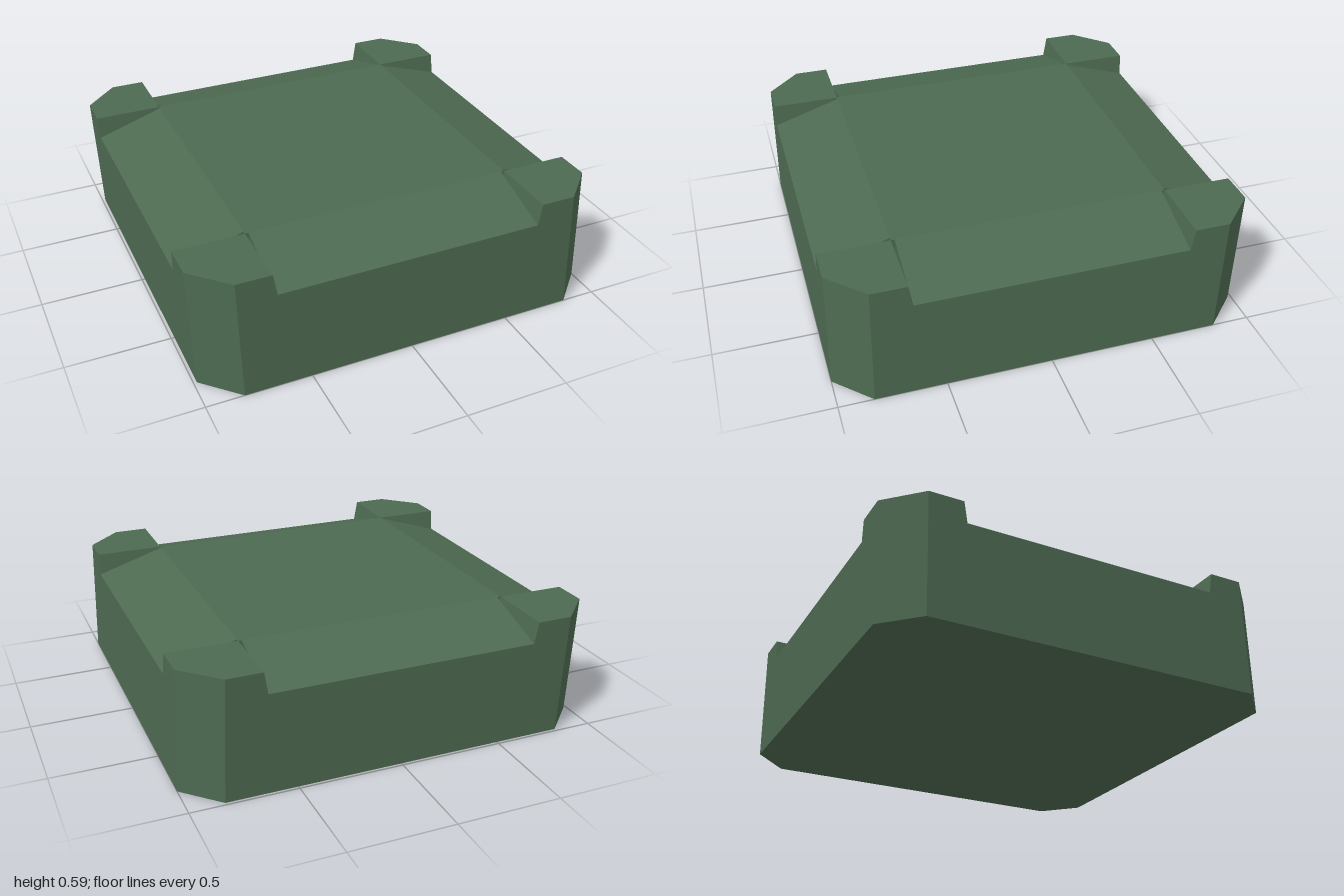
import * as THREE from 'three';

const TOP = 0.59, FLOOR = 0.485;   // crown height and notch height
const HALF = 0.9925, CUT = 0.8275; // half width and where the corner chamfer starts

// The block leans slightly: its centre drifts in x and z with height
const lean = (y) => 0.0075 - 0.015 * (y / TOP);
const at = (y, pts) => pts.map(([x, z]) => [x + lean(y), z + lean(y)]);

// Flat-shaded solid between two matching [x, z] loops
function loft(bottom, y0, top, y1) {
  let area = 0;
  bottom.forEach(([x, z], i) => {
    const [nx, nz] = bottom[(i + 1) % bottom.length];
    area += x * nz - nx * z;
  });
  if (area > 0) { bottom = [...bottom].reverse(); top = [...top].reverse(); }
  const b = bottom.map(([x, z]) => new THREE.Vector3(x, y0, z));
  const t = top.map(([x, z]) => new THREE.Vector3(x, y1, z));
  const points = [];
  const tri = (p, q, r) => {
    if (new THREE.Triangle(p, q, r).getArea() > 1e-7) points.push(p, q, r);
  };
  const n = b.length;
  for (let i = 0; i < n; i++) {
    const j = (i + 1) % n;
    tri(b[i], b[j], t[j]);
    tri(b[i], t[j], t[i]);
    if (i > 0 && i < n - 1) {
      tri(t[0], t[i], t[j]);
      tri(b[0], b[j], b[i]);
    }
  }
  const geometry = new THREE.BufferGeometry().setFromPoints(points);
  geometry.computeVertexNormals();
  return geometry;
}

export function createModel() {
  const group = new THREE.Group();
  const green = new THREE.MeshStandardMaterial({ color: 0x4d6a51 });
  green.name = 'mossGreen';
  const add = (name, geometry) => {
    const mesh = new THREE.Mesh(geometry, green);
    mesh.name = name;
    group.add(mesh);
  };

  // Chamfered square body up to the notch floor
  const octagon = [[HALF, -CUT], [HALF, CUT], [CUT, HALF], [-CUT, HALF],
    [-HALF, CUT], [-HALF, -CUT], [-CUT, -HALF], [CUT, -HALF]];
  add('body', loft(at(0, octagon), 0, at(FLOOR, octagon), FLOOR));

  // Raised centre plateau
  const lo = -0.6675, hi = 0.6525;
  const square = [[lo, lo], [hi, lo], [hi, hi], [lo, hi]];
  add('plateau', loft(square, FLOOR, square, TOP));

  // Sloping bevels from the plateau down to each outer edge
  const a = -0.65, c = 0.635;
  for (const s of [-1, 1]) {
    const inner = s > 0 ? hi : lo;
    const outer = lean(FLOOR) + s * HALF;
    const base = [[a, inner], [c, inner], [c, outer], [a, outer]];
    const ridge = [[a, inner], [c, inner], [c, inner], [a, inner]];
    const swap = (loop) => loop.map(([x, z]) => [z, x]);
    add(s > 0 ? 'frontBevel' : 'backBevel', loft(base, FLOOR, ridge, TOP));
    add(s > 0 ? 'leftBevel' : 'rightBevel', loft(swap(base), FLOOR, swap(ridge), TOP));
  }

  // Corner posts with slanted inner walls
  for (const sx of [-1, 1]) for (const sz of [-1, 1]) {
    const post = (y, inner) => {
      const o = lean(y);
      const ix = -0.0075 + sx * inner, iz = -0.0075 + sz * inner;
      return [[ix, iz], [o + sx * HALF, iz], [o + sx * HALF, o + sz * CUT],
        [o + sx * CUT, o + sz * HALF], [ix, o + sz * HALF]];
    };
    add((sz > 0 ? 'front' : 'back') + (sx > 0 ? 'Left' : 'Right') + 'Corner',
      loft(post(FLOOR, 0.6425), FLOOR, post(TOP, 0.66), TOP));
  }
  return group;
}
